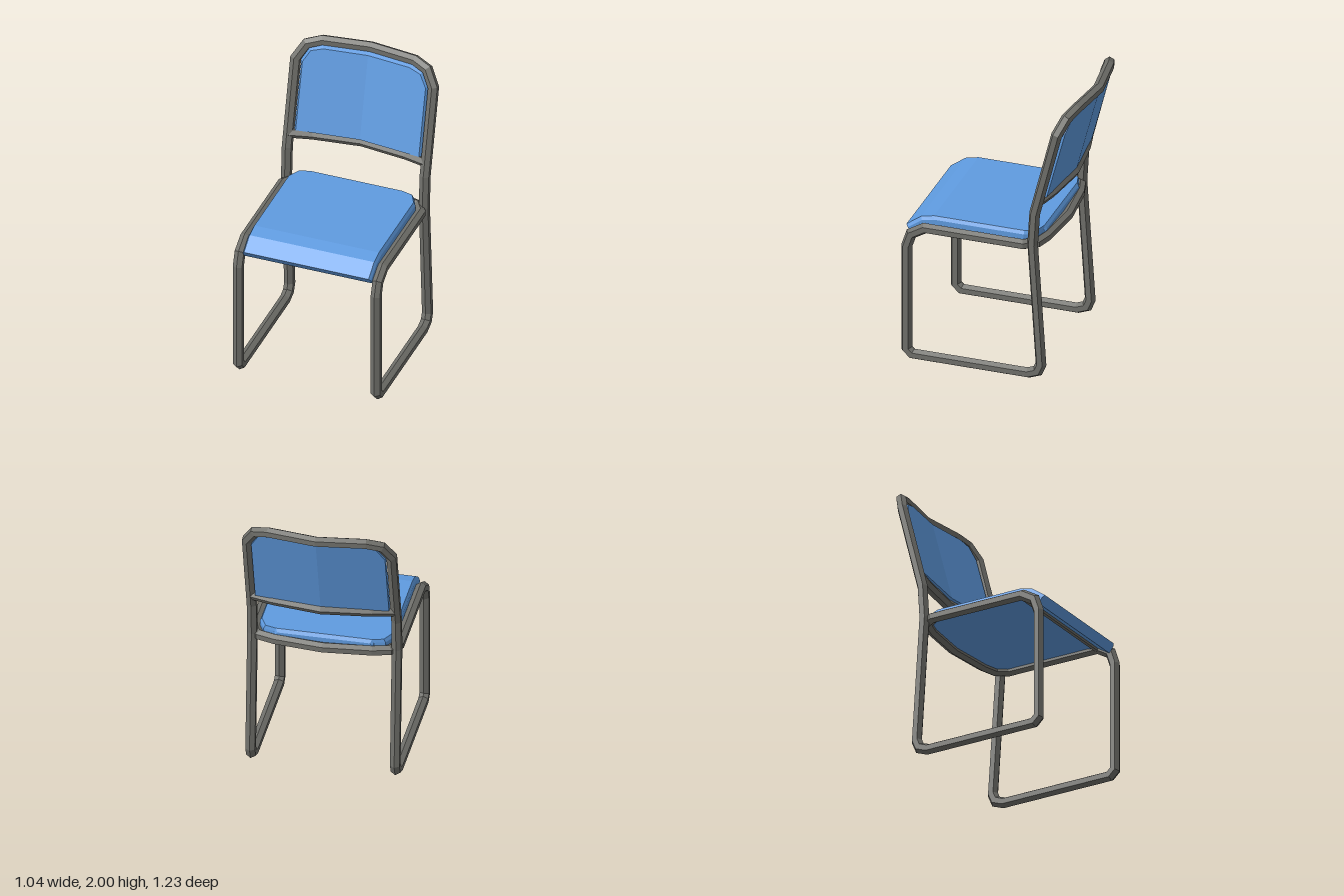
import * as THREE from 'three';

const V = (x, y, z) => new THREE.Vector3(x, y, z);
const steel = new THREE.MeshStandardMaterial({ color: 0x70706b, flatShading: true });
steel.name = 'grey steel';
const blue = new THREE.MeshStandardMaterial({ color: 0x5f9be0, flatShading: true });
blue.name = 'blue plastic';

// Closed solid through a list of equal-length rings, faces turned outwards
function loft(rings) {
  const tris = [], n = rings[0].length, last = rings.length - 1;
  for (let i = 0; i < last; i++) {
    for (let j = 0; j < n; j++) {
      const k = (j + 1) % n;
      const [a, b, c, d] = [rings[i][j], rings[i][k], rings[i + 1][k], rings[i + 1][j]];
      tris.push([a, b, c], [a, c, d]);
    }
  }
  for (let j = 1; j < n - 1; j++) {
    tris.push([rings[0][0], rings[0][j + 1], rings[0][j]]);
    tris.push([rings[last][0], rings[last][j], rings[last][j + 1]]);
  }
  const o = rings[0][0];
  const volume = tris.reduce((s, [a, b, c]) =>
    s + a.clone().sub(o).dot(b.clone().sub(o).cross(c.clone().sub(o))), 0);
  const pts = tris.flatMap(([a, b, c]) => (volume < 0 ? [a, c, b] : [a, b, c]));
  const g = new THREE.BufferGeometry().setFromPoints(pts);
  g.computeVertexNormals();
  return g;
}

// Six-sided tube with mitred corners; it starts and ends on planes facing x
function tubeRings(path, radius, up) {
  const dirs = path.slice(1).map((p, i) => p.clone().sub(path[i]).normalize());
  const side = dirs[0].clone().cross(up).normalize();
  let ring = Array.from({ length: 6 }, (_, i) => path[0].clone()
    .addScaledVector(up, radius * Math.cos(i * Math.PI / 3))
    .addScaledVector(side, radius * Math.sin(i * Math.PI / 3)));
  return path.map((p, i) => {
    const d = dirs[Math.max(i - 1, 0)];
    const m = i === 0 || i === path.length - 1 ? V(1, 0, 0) : d.clone().add(dirs[i]);
    ring = ring.map(q => q.clone().addScaledVector(d, p.clone().sub(q).dot(m) / d.dot(m)));
    return ring;
  });
}

// Left half plus its mirror image
function mirrored(name, rings, material) {
  const group = new THREE.Group();
  group.name = name;
  for (const s of [1, -1]) {
    const mesh = new THREE.Mesh(loft(rings.map(r => r.map(p => V(p.x * s, p.y, p.z)))), material);
    mesh.name = name + (s > 0 ? 'Left' : 'Right');
    group.add(mesh);
  }
  return group;
}

export function createModel() {
  const chair = new THREE.Group();
  chair.name = 'chair';
  const R = 0.037, X = 0.486;

  // One continuous bent tube: seat rail, front leg, floor runner, back post, top rail
  const frame = [
    V(0, 0.986, -0.366), V(0.325, 0.986, -0.335), V(0.435, 0.986, -0.305), V(X, 0.986, -0.225),
    V(X, 0.986, 0.458), V(X, 0.93, 0.552), V(X, 0.84, 0.582),
    V(X, 0.075, 0.582), V(X, 0.04, 0.545),
    V(X, 0.04, -0.265), V(X, 0.065, -0.33), V(X, 0.12, -0.353),
    V(X, 1.0, -0.295), V(X, 1.23, -0.309), V(X, 1.835, -0.462),
    V(0.425, 1.935, -0.508), V(0.325, 1.965, -0.54), V(0, 1.965, -0.582),
  ];
  chair.add(mirrored('tubeFrame', tubeRings(frame, R, V(0, 1, 0)), steel));

  // Cross rails below the backrest and under the front of the seat
  const lower = [V(0, 1.323, -0.413), V(0.33, 1.323, -0.372), V(X, 1.323, -0.335)];
  chair.add(mirrored('backrestRail', tubeRings(lower, R, V(0, 0, 1)), steel));
  const cross = [V(0, 0.977, 0.455), V(X, 0.977, 0.455)];
  chair.add(mirrored('seatCrossRail', tubeRings(cross, 0.022, V(0, 0, 1)), steel));

  // Backrest: leaning panel folded at the middle, with a bevelled front
  const outline = [[0, 1.345], [0.45, 1.345], [0.45, 1.83], [0.4, 1.915], [0.315, 1.94], [0, 1.94]];
  const panel = [[0.965, 0.058], [1, 0.035], [1, 0]].map(([scale, depth]) =>
    outline.map(([x, y]) => {
      const px = x * scale, py = 1.64 + (y - 1.64) * scale;
      return V(px, py, -0.43 - 0.262 * (py - 1.345) + 0.11 * px + depth);
    }));
  chair.add(mirrored('backrestPanel', panel, blue));

  // Seat: sections from back to front as [half width, top z, top y, bottom z, bottom y]
  const sections = [
    [0.325, -0.335, 1.04, -0.335, 0.985], [0.335, -0.32, 1.063, -0.325, 0.985],
    [0.41, -0.3, 1.063, -0.305, 0.985], [0.452, -0.22, 1.063, -0.22, 0.985],
    [0.452, 0.41, 1.063, 0.39, 0.985], [0.452, 0.5, 1.043, 0.47, 0.972],
    [0.452, 0.602, 0.97, 0.56, 0.915],
  ];
  const seat = new THREE.Mesh(loft(sections.map(([w, tz, ty, bz, by]) => {
    const ez = tz + (bz - tz) * 0.3, ey = ty + (by - ty) * 0.3;
    return [V(-w, by, bz), V(w, by, bz), V(w, ey, ez), V(w - 0.013, ty, tz),
      V(0.013 - w, ty, tz), V(-w, ey, ez)];
  })), blue);
  seat.name = 'seat';
  chair.add(seat);

  return chair;
}
